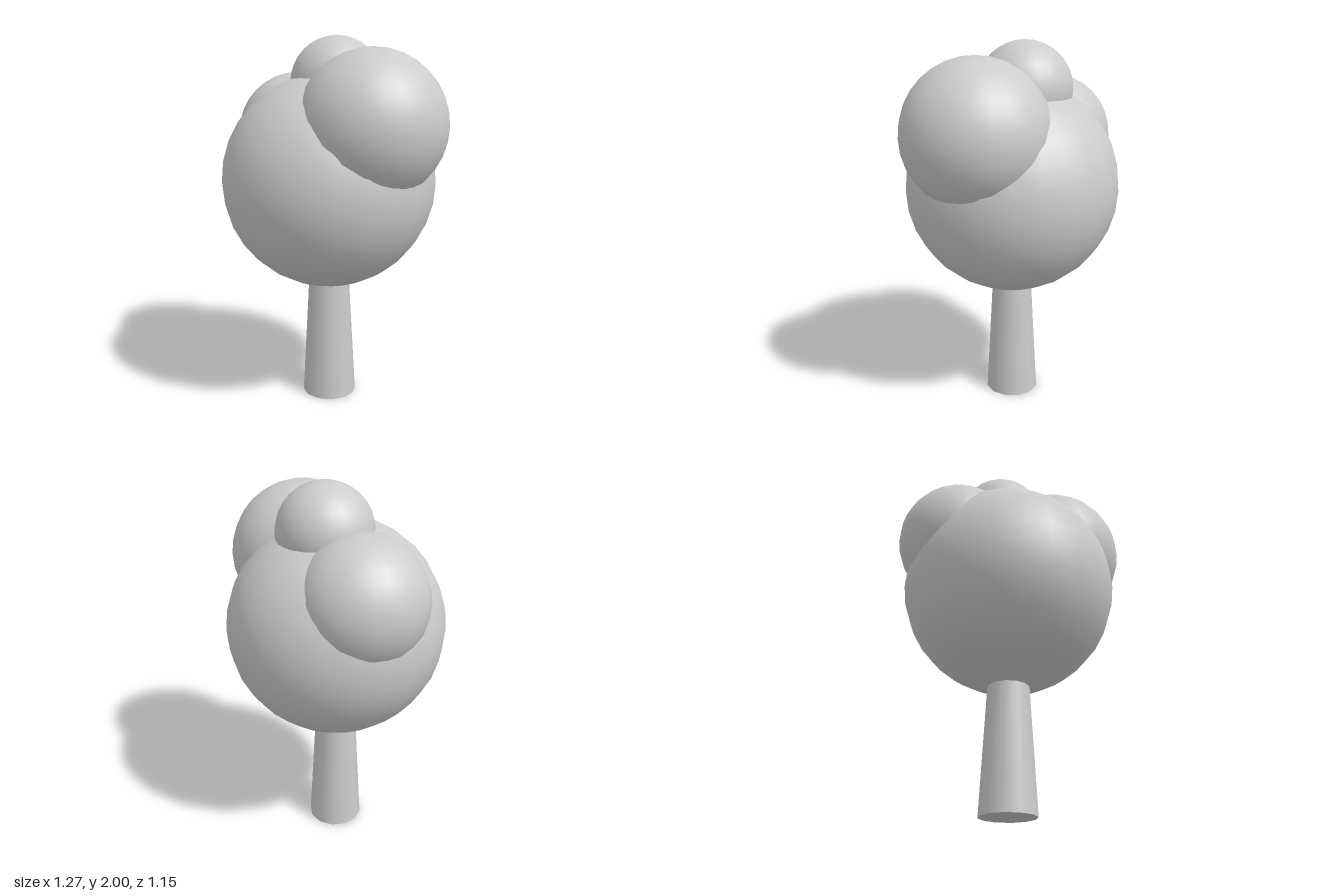
import * as THREE from 'three';

export function createModel() {
  const model = new THREE.Group();
  model.name = 'tree';
  const grey = new THREE.MeshStandardMaterial({ color: 0xcccccc });
  grey.name = 'light grey';

  // Tapered trunk, reaching a little way into the crown
  const trunkHeight = 0.78;
  const trunk = new THREE.Mesh(new THREE.CylinderGeometry(0.106, 0.15, trunkHeight, 12), grey);
  trunk.name = 'trunk';
  trunk.position.set(-0.045, trunkHeight / 2, 0);
  model.add(trunk);

  // Overlapping balls of foliage: name, radius, centre
  const foliage = [
    ['crown', 0.577, -0.045, 1.235, 0],
    ['leftFoliage', 0.385, 0.25, 1.555, 0.105],
    ['rightFoliage', 0.335, -0.305, 1.47, -0.145],
    ['topFoliage', 0.25, -0.03, 1.75, -0.072],
  ];
  for (const [name, radius, x, y, z] of foliage) {
    const ball = new THREE.Mesh(new THREE.SphereGeometry(radius, 24, 16), grey);
    ball.name = name;
    ball.position.set(x, y, z);
    model.add(ball);
  }
  return model;
}
